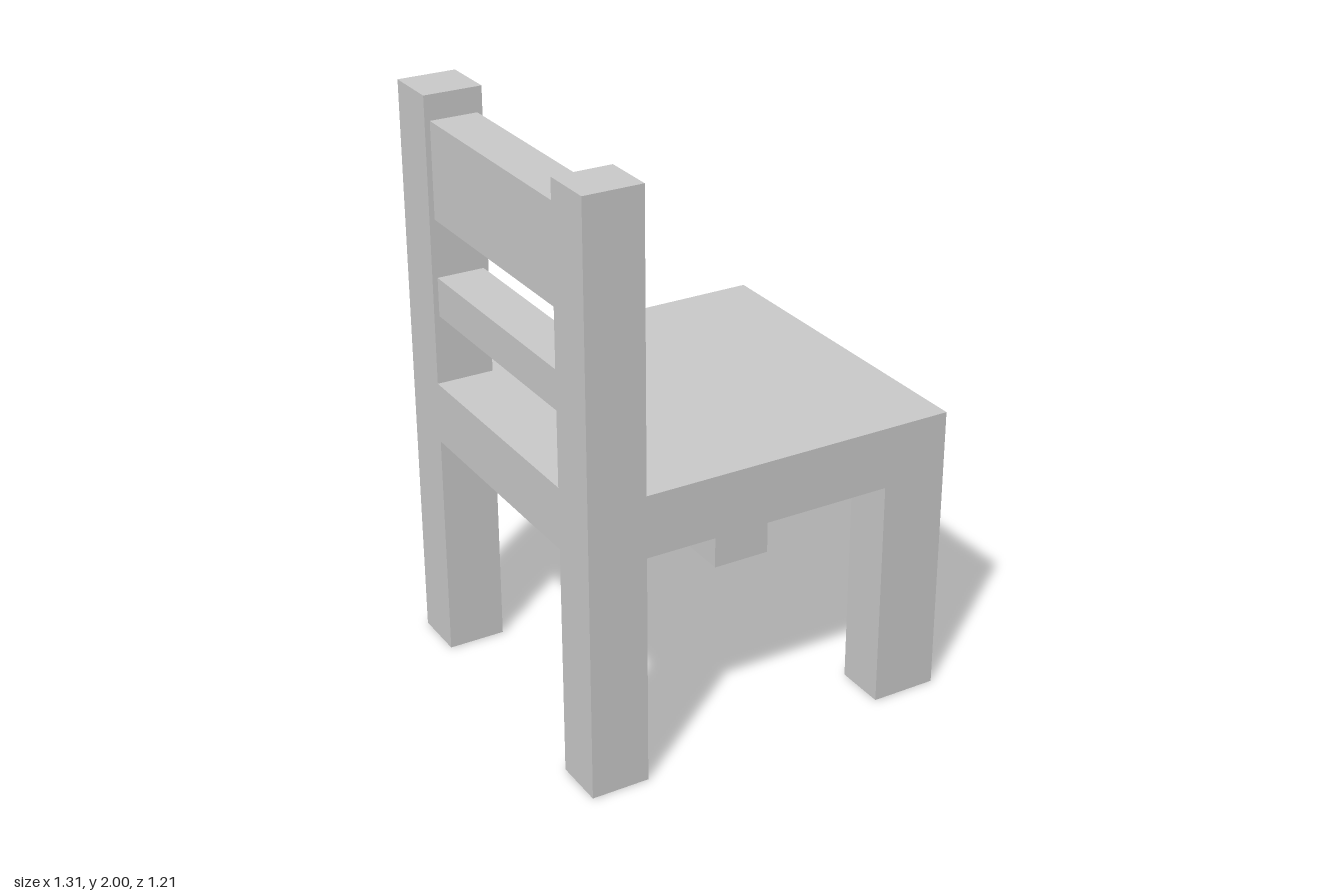
import * as THREE from 'three';

const material = new THREE.MeshStandardMaterial({ color: 0xcccccc, flatShading: true });

// Box given by its [min, max] range on each axis
function box(name, [x0, x1], [y0, y1], [z0, z1]) {
  const mesh = new THREE.Mesh(new THREE.BoxGeometry(x1 - x0, y1 - y0, z1 - z0), material);
  mesh.name = name;
  mesh.position.set((x0 + x1) / 2, (y0 + y1) / 2, (z0 + z1) / 2);
  return mesh;
}

export function createModel() {
  const chair = new THREE.Group();
  chair.name = 'chair';

  const seatBottom = 0.803, seatTop = 1.015;
  const backX = [-0.654, -0.454], frontX = [0.423, 0.652], slatX = [-0.636, -0.472];
  const sides = { Left: [-0.605, -0.414], Right: [0.425, 0.606] };

  // Seat
  chair.add(box('seat', [backX[0], frontX[1]], [seatBottom, seatTop], [-0.605, 0.606]));

  // Legs and backrest posts on both sides
  for (const [side, z] of Object.entries(sides)) {
    chair.add(box('frontLeg' + side, frontX, [0, seatBottom], z));
    chair.add(box('backLeg' + side, backX, [0, seatBottom], z));
    chair.add(box('backPost' + side, backX, [seatTop, 2], z));
  }

  // Backrest slats between the posts
  const slatZ = [sides.Left[1], sides.Right[0]];
  chair.add(box('lowerSlat', slatX, [1.253, 1.387], slatZ));
  chair.add(box('upperSlat', slatX, [1.587, 1.915], slatZ));

  return chair;
}
